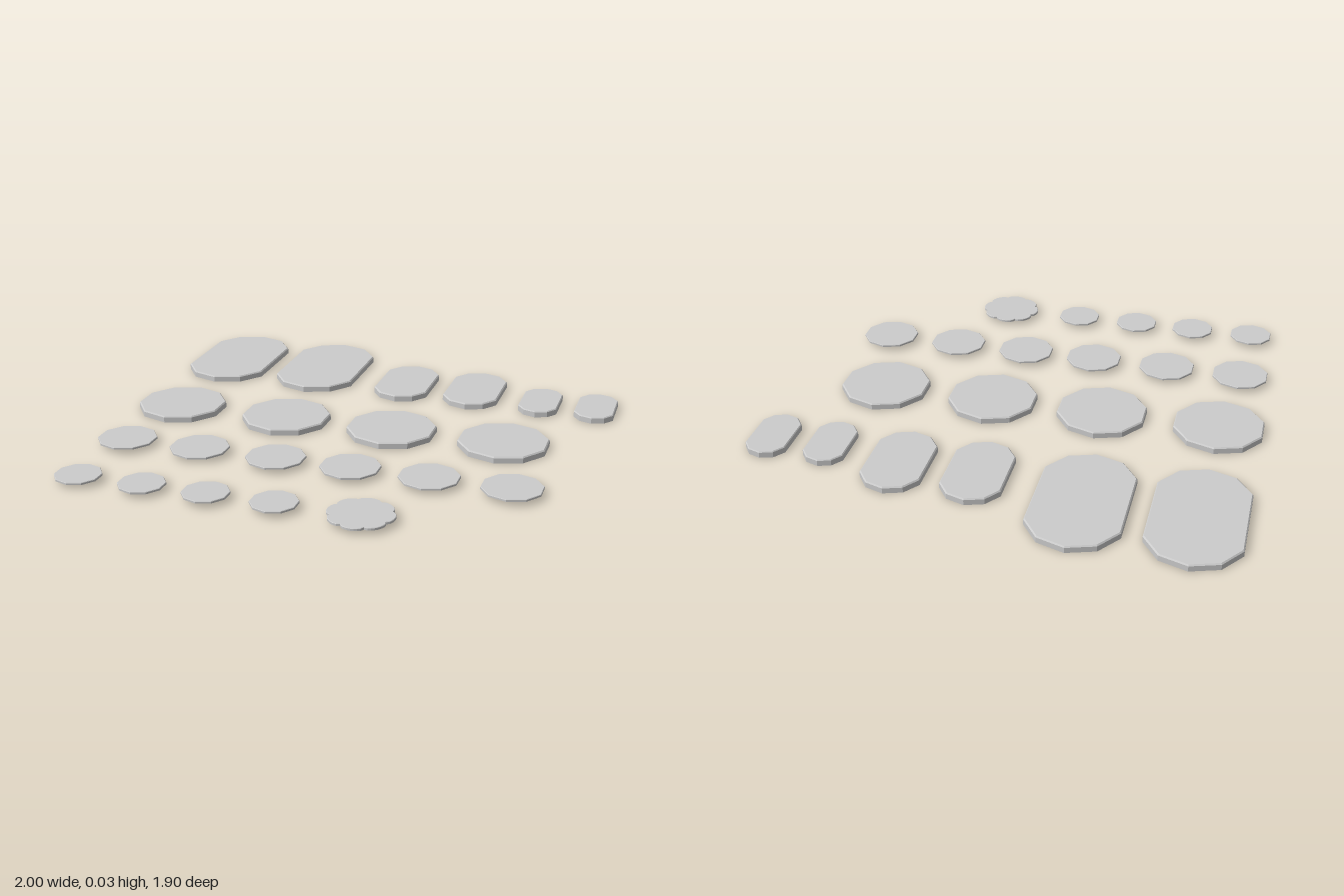
import * as THREE from 'three';

const TOP = 0.027; // shared height of all top faces
const material = new THREE.MeshStandardMaterial({ color: 0xcccccc, flatShading: true });

// Flat slab with a small chamfer on its top rim; reshape moves each vertex in plan
function slab(name, x, z, radius, bottom, bevel, reshape, sides = 10) {
  const profile = [
    [0, bottom], [radius, bottom], [radius, TOP - bevel], [radius - bevel, TOP], [0, TOP],
  ].map(([r, y]) => new THREE.Vector2(r, y));
  const geometry = new THREE.LatheGeometry(profile, sides);
  if (reshape) {
    const p = geometry.attributes.position;
    const v = new THREE.Vector3();
    for (let i = 0; i < p.count; i++) {
      reshape(v.fromBufferAttribute(p, i));
      p.setXYZ(i, v.x, v.y, v.z);
    }
    geometry.computeVertexNormals();
  }
  const mesh = new THREE.Mesh(geometry, material);
  mesh.name = name;
  mesh.position.set(x, 0, z);
  return mesh;
}

// Pulls the two halves of a disc apart along z
const stretch = (d) => (v) => {
  if (Math.abs(v.z) > 1e-5) v.z += Math.sign(v.z) * d;
};

// Eight rounded lobes with sharp notches between them
const petals = (v) => {
  const a = Math.atan2(v.x, v.z);
  const k = 0.89 + 0.11 * Math.sqrt(Math.abs(Math.cos(4 * a)));
  v.x *= k;
  v.z *= k;
};

export function createModel() {
  const group = new THREE.Group();
  group.name = 'slabSet';

  // Each row: name, x centres, z centre, radius, underside height, chamfer, half stretch
  const rows = [
    ['largeOblong', [-0.818, -0.38], -0.647, 0.19, 0, 0.005, 0.118],
    ['mediumOblong', [0.045, 0.364], -0.554, 0.127, 0, 0.005, 0.079],
    ['smallOblong', [0.671, 0.914], -0.495, 0.088, 0, 0.004, 0.06],
    ['largeDisc', [-0.818, -0.334, 0.134, 0.608], 0, 0.189, 0, 0.005, 0],
    ['mediumDisc', [-0.861, -0.54, -0.214, 0.096, 0.412, 0.733], 0.436, 0.121, 0.018, 0.002, 0],
    ['smallDisc', [-0.872, -0.604, -0.342, -0.07], 0.822, 0.093, 0.018, 0.002, 0],
  ];
  for (const [name, xs, z, radius, bottom, bevel, d] of rows) {
    xs.forEach((x, i) =>
      group.add(slab(`${name}${i + 1}`, x, z, radius, bottom, bevel, d ? stretch(d) : null)));
  }

  // Scalloped flower plate
  group.add(slab('flowerPlate', 0.262, 0.82, 0.129, 0.017, 0.002, petals, 64));
  return group;
}
